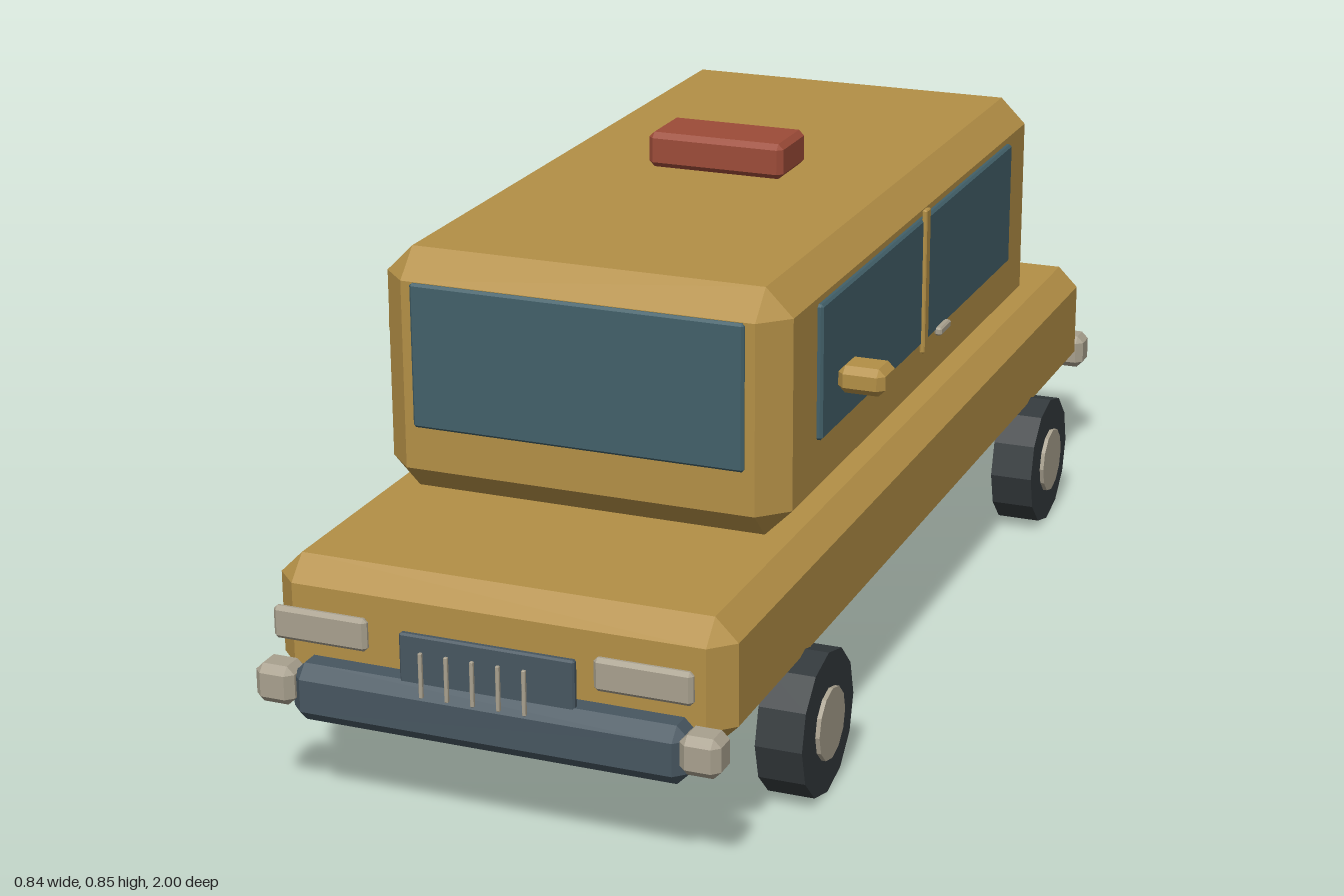
import * as THREE from 'three';
import { ConvexGeometry } from 'three/addons/geometries/ConvexGeometry.js';

const paint = (color) => new THREE.MeshStandardMaterial({ color, flatShading: true });

// Box with bevelled edges, given as [min, max] ranges on each axis
function bevelBox(x, y, z, c) {
  const points = [];
  for (const i of [0, 1]) for (const j of [0, 1]) for (const k of [0, 1]) {
    const corner = [x[i], y[j], z[k]];
    const inward = [1 - 2 * i, 1 - 2 * j, 1 - 2 * k];
    // each corner becomes three points, one on every face that meets there
    for (let face = 0; face < 3; face++) {
      points.push(new THREE.Vector3(...corner.map((v, a) => (a === face ? v : v + inward[a] * c))));
    }
  }
  return new ConvexGeometry(points);
}

export function createModel() {
  const car = new THREE.Group();
  car.name = 'taxi';

  const yellow = paint(0xb38f46);
  const slate = paint(0x475660);
  const glass = paint(0x426069);
  const rubber = paint(0x33393c);
  const metal = paint(0xa8a08e);
  const red = paint(0x9c4b38);

  const add = (name, geometry, material) => {
    const mesh = new THREE.Mesh(geometry, material);
    mesh.name = name;
    car.add(mesh);
    return mesh;
  };
  const box = (name, material, x, y, z, c) => add(name, bevelBox(x, y, z, c), material);
  // The same box on the left (+x) and right (-x)
  const pair = (name, material, x, y, z, c) => {
    box(name + 'Left', material, x, y, z, c);
    box(name + 'Right', material, [-x[1], -x[0]], y, z, c);
  };

  // Main shells
  box('chassis', slate, [-0.318, 0.318], [0.153, 0.245], [-0.985, 0.97], 0.02);
  box('body', yellow, [-0.367, 0.367], [0.19, 0.392], [-0.94, 0.92], 0.036);
  box('cabin', yellow, [-0.333, 0.333], [0.394, 0.786], [-0.67, 0.618], 0.044);
  box('roofSign', red, [-0.118, 0.118], [0.791, 0.85], [-0.067, 0.049], 0.009);

  // Windows
  box('windshield', glass, [-0.273, 0.273], [0.508, 0.741], [0.61, 0.624], 0.004);
  box('rearWindow', glass, [-0.25, 0.25], [0.508, 0.735], [-0.677, -0.664], 0.004);
  pair('sideWindow', glass, [0.328, 0.342], [0.515, 0.732], [-0.52, 0.47], 0.004);

  // Door trim and mirrors
  pair('doorPillar', yellow, [0.339, 0.348], [0.502, 0.748], [-0.035, -0.014], 0.002);
  pair('doorHandle', metal, [0.339, 0.352], [0.508, 0.522], [-0.148, -0.094], 0.003);
  pair('mirror', yellow, [0.345, 0.421], [0.575, 0.619], [0.352, 0.418], 0.011);

  // Lights and bumper corners
  pair('headlight', metal, [0.18, 0.333], [0.29, 0.342], [0.962, 0.978], 0.006);
  pair('tailLight', red, [0.18, 0.333], [0.29, 0.342], [-0.994, -0.978], 0.006);
  pair('frontBumperCorner', metal, [0.308, 0.372], [0.179, 0.241], [0.92, 0.977], 0.012);
  pair('rearBumperCorner', metal, [0.308, 0.372], [0.179, 0.241], [-0.995, -0.938], 0.012);

  // Grille with upright bars
  box('grille', slate, [-0.14, 0.14], [0.235, 0.319], [0.94, 0.952], 0.003);
  for (let i = -2; i <= 2; i++) {
    const x = i * 0.041;
    box('grilleBar', metal, [x - 0.003, x + 0.003], [0.244, 0.315], [0.994, 1], 0.001);
  }

  // Wheels with hubs on the outer side
  const tyre = new THREE.CylinderGeometry(0.116, 0.116, 0.075, 12).rotateZ(Math.PI / 2);
  const hub = new THREE.CylinderGeometry(0.058, 0.058, 0.02, 12).rotateZ(Math.PI / 2);
  for (const side of [-1, 1]) {
    for (const z of [0.606, -0.604]) {
      const end = z > 0 ? 'front' : 'rear';
      add(end + 'Wheel', tyre, rubber).position.set(side * 0.3675, 0.116, z);
      add(end + 'Hub', hub, metal).position.set(side * 0.402, 0.116, z);
    }
  }

  return car;
}
